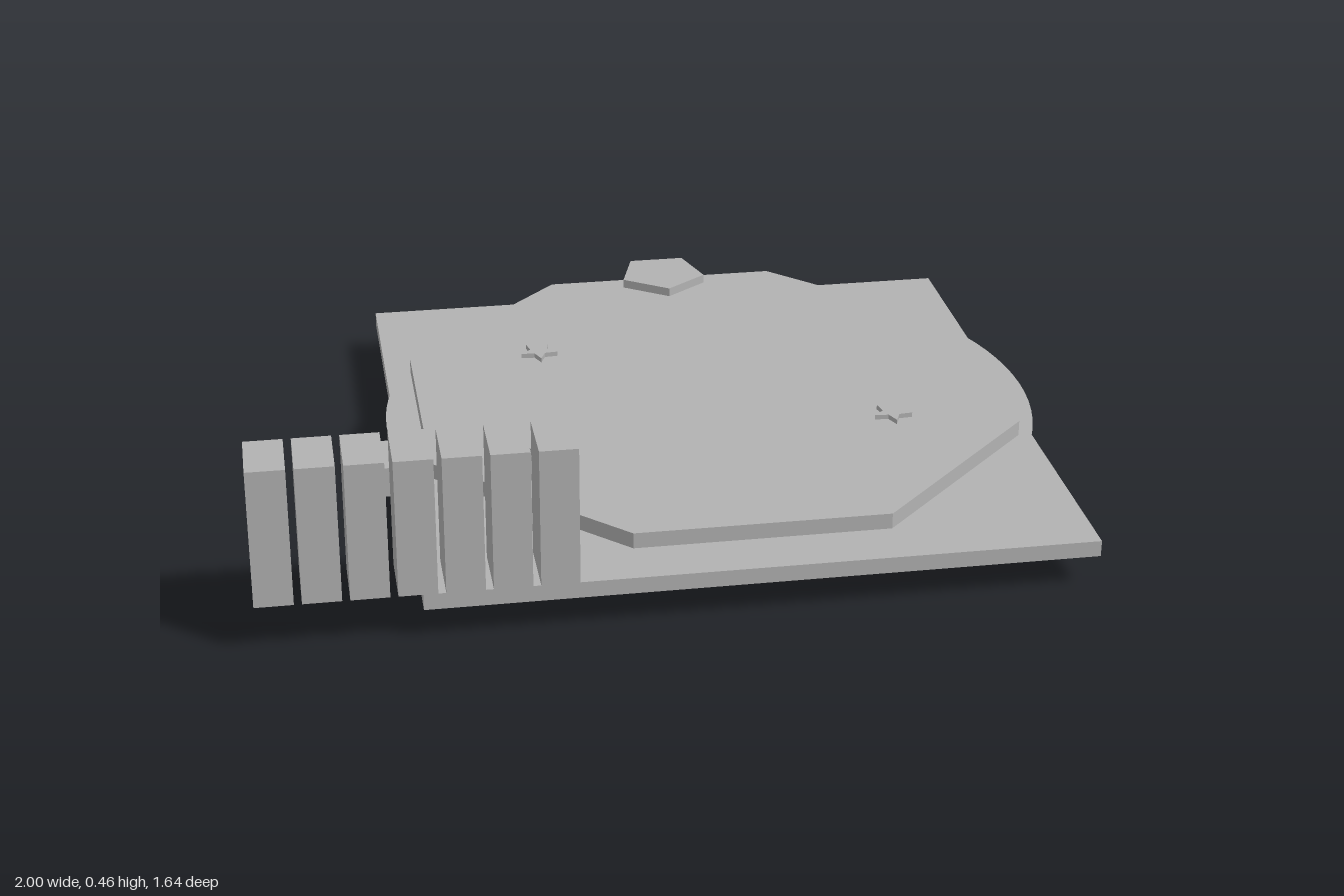
import * as THREE from 'three';

export function createModel() {
  const model = new THREE.Group();
  const grey = new THREE.MeshStandardMaterial({ color: 0xb2b2b2 });
  grey.name = 'plain grey';
  const greySheet = new THREE.MeshStandardMaterial({ color: 0xb2b2b2, side: THREE.DoubleSide });
  greySheet.name = 'plain grey sheet';

  const add = (name, geometry, material = grey) => {
    const mesh = new THREE.Mesh(geometry, material);
    mesh.name = name;
    model.add(mesh);
    return mesh;
  };

  // Box given by its extents on each axis
  const box = (name, [x0, x1], [y0, y1], [z0, z1]) =>
    add(name, new THREE.BoxGeometry(x1 - x0, y1 - y0, z1 - z0))
      .position.set((x0 + x1) / 2, (y0 + y1) / 2, (z0 + z1) / 2);

  // Flat slab from an outline of [x, z] points, raised from y0 to y1
  const slab = (name, points, y0, y1) => {
    const shape = new THREE.Shape(points.map(([x, z]) => new THREE.Vector2(x, -z)));
    const geometry = new THREE.ExtrudeGeometry(shape, { depth: y1 - y0, bevelEnabled: false });
    geometry.rotateX(-Math.PI / 2);
    return add(name, geometry).position.y = y0;
  };

  // Square base and the small block beside it
  box('base', [-0.62, 0.97], [0.08, 0.12], [-0.81, 0.78]);
  box('sideBlock', [-0.7, -0.62], [0, 0.08], [-0.09, 0.065]);

  // Thin round sheet under the octagonal platform
  const disc = new THREE.CircleGeometry(0.822, 96);
  disc.rotateX(-Math.PI / 2);
  add('disc', disc, greySheet).position.set(0.177, 0.161, -0.003);

  slab('platform', [
    [-0.13, -0.75], [0.48, -0.75], [0.91, -0.32], [0.91, 0.29],
    [0.48, 0.715], [-0.13, 0.715], [-0.56, 0.29], [-0.56, -0.32],
  ], 0.16, 0.2);

  // Pentagon plate at the back
  slab('pentagonPlate', [
    [0.1, -0.8], [0.245, -0.8], [0.285, -0.67], [0.175, -0.59], [0.06, -0.67],
  ], 0.212, 0.235);

  // Three five-pointed stars, each with a tip towards the front
  for (const [cx, cz] of [[-0.225, -0.275], [-0.29, 0.315], [0.6, 0.225]]) {
    const points = [];
    for (let i = 0; i < 10; i++) {
      const r = i % 2 ? 0.023 : 0.05;
      const a = (i * Math.PI) / 5;
      points.push([cx + r * Math.sin(a), cz + r * Math.cos(a)]);
    }
    slab('star', points, 0.208, 0.22);
  }

  // Row of upright blocks along the front left
  for (let i = 0; i < 7; i++) {
    const x = -1 + i * 0.108;
    box('uprightBlock', [x, x + 0.09], [0.12, 0.46], [0.627, 0.78]);
  }

  return model;
}
